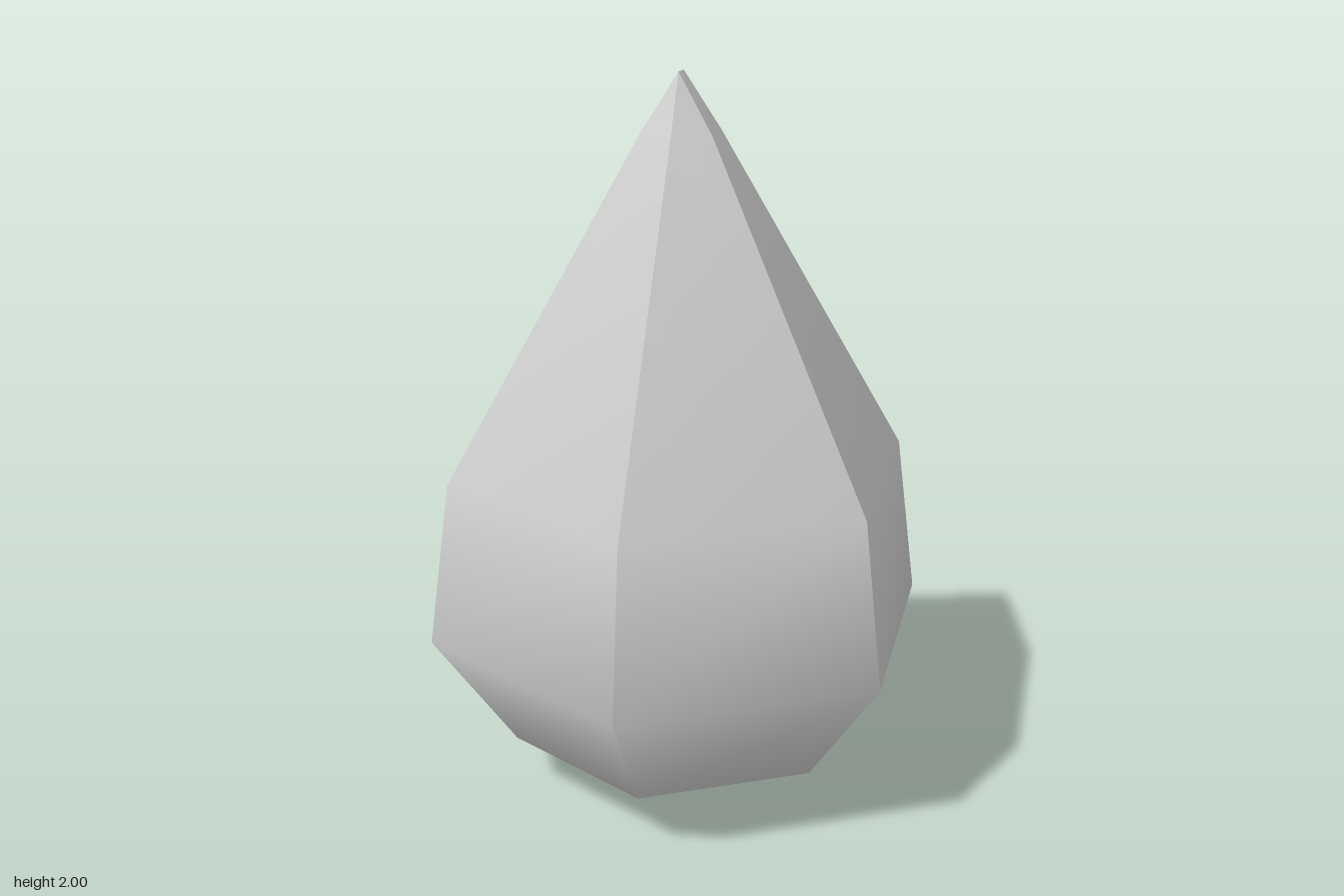
import * as THREE from 'three';

const SIDES = 6;
// Rings from the foot upward: [radius, height]
const RINGS = [[0.13, 0], [0.48, 0.165], [0.707, 0.49], [0.645, 0.94], [0.11, 1.845]];

function ringPoint([r, y], k) {
  const a = (k * Math.PI * 2) / SIDES;
  return [r * Math.cos(a), y, r * Math.sin(a)];
}

// The six corner lines meet in two points, which form a tiny ridge at the tip
function tipPoint(k) {
  const s = k % SIDES < 3 ? 1 : -1;
  return [0.01 * s, 2, 0.02 * s];
}

function makeGeometry(points, index) {
  const g = new THREE.BufferGeometry();
  g.setAttribute('position', new THREE.Float32BufferAttribute(points.flat(), 3));
  g.setIndex(index);
  g.computeVertexNormals();
  return g;
}

// One side panel: smooth along its height, sharp against its neighbours
function panelGeometry(k) {
  const points = [], index = [];
  for (const ring of RINGS) points.push(ringPoint(ring, k), ringPoint(ring, k + 1));
  points.push(tipPoint(k), tipPoint(k + 1));
  const oneTip = tipPoint(k)[0] === tipPoint(k + 1)[0];
  for (let i = 0; i < RINGS.length; i++) {
    const a = 2 * i, b = a + 1, c = a + 2, d = a + 3;
    index.push(b, a, c);
    if (i < RINGS.length - 1 || !oneTip) index.push(b, c, d);
  }
  return makeGeometry(points, index);
}

export function createModel() {
  const group = new THREE.Group();
  group.name = 'drop';
  const material = new THREE.MeshStandardMaterial({ color: 0xcccccc });
  const add = (name, geometry) => {
    const mesh = new THREE.Mesh(geometry, material);
    mesh.name = name;
    group.add(mesh);
  };

  // Six faceted sides
  for (let k = 0; k < SIDES; k++) add('sidePanel' + (k + 1), panelGeometry(k));

  // Flat hexagonal foot
  const foot = [], index = [];
  for (let k = 0; k < SIDES; k++) foot.push(ringPoint(RINGS[0], k));
  for (let k = 1; k < SIDES - 1; k++) index.push(0, k, k + 1);
  add('foot', makeGeometry(foot, index));

  return group;
}
